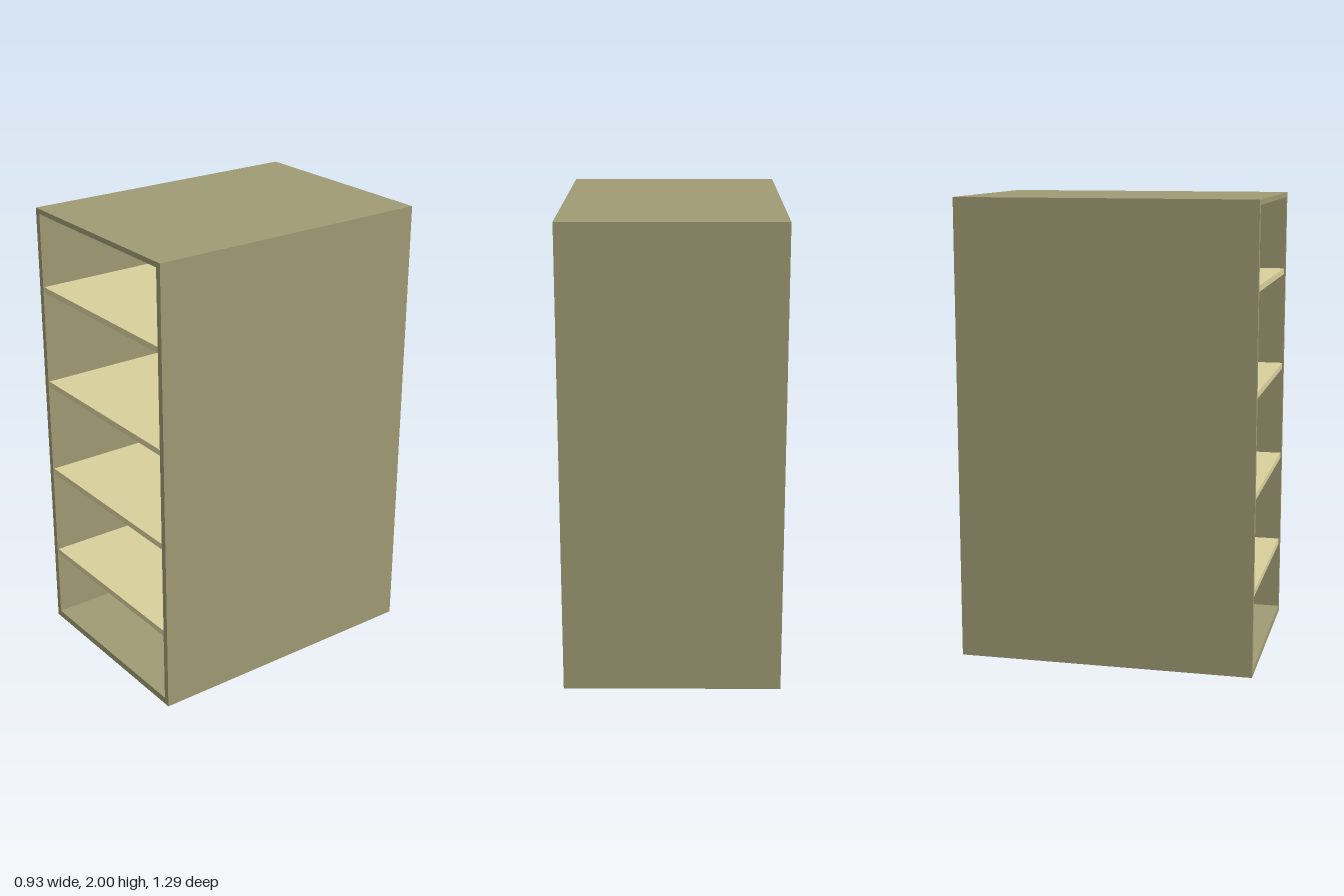
import * as THREE from 'three';

const W = 0.926, H = 2, D = 1.286;            // outer size
const SIDE = 0.026, TOP = 0.022, BASE = 0.03; // panel thicknesses
const BACK = 0.026;
const SHELF = 0.026;
const SHELF_TOPS = [0.365, 0.784, 1.213, 1.653];

export function createModel() {
  const group = new THREE.Group();
  group.name = 'shelfCabinet';
  const carcassMat = new THREE.MeshStandardMaterial({ color: 0x9f9b74 });
  const shelfMat = new THREE.MeshStandardMaterial({ color: 0xd9d09c });

  const add = (name, geometry, material, x, y, z) => {
    const mesh = new THREE.Mesh(geometry, material);
    mesh.name = name;
    mesh.position.set(x, y, z);
    group.add(mesh);
  };

  // Carcass: sides, top and base as one rectangular tube, open at the front
  const innerW = W - 2 * SIDE;
  const outline = new THREE.Shape([
    new THREE.Vector2(-W / 2, 0), new THREE.Vector2(W / 2, 0),
    new THREE.Vector2(W / 2, H), new THREE.Vector2(-W / 2, H),
  ]);
  outline.holes.push(new THREE.Path([
    new THREE.Vector2(-innerW / 2, BASE), new THREE.Vector2(-innerW / 2, H - TOP),
    new THREE.Vector2(innerW / 2, H - TOP), new THREE.Vector2(innerW / 2, BASE),
  ]));
  const frame = new THREE.ExtrudeGeometry(outline, { depth: D, bevelEnabled: false });
  add('carcass', frame, carcassMat, 0, 0, -D / 2);

  // Back panel closing the tube
  const innerH = H - TOP - BASE;
  add('backPanel', new THREE.BoxGeometry(innerW, innerH, BACK), carcassMat,
    0, BASE + innerH / 2, -D / 2 + BACK / 2);

  // Shelves, just behind the front edge
  const recess = 0.005;
  const depth = D - BACK - recess;
  for (const top of SHELF_TOPS) {
    add('shelf', new THREE.BoxGeometry(innerW, SHELF, depth), shelfMat,
      0, top - SHELF / 2, (BACK - recess) / 2);
  }
  return group;
}
